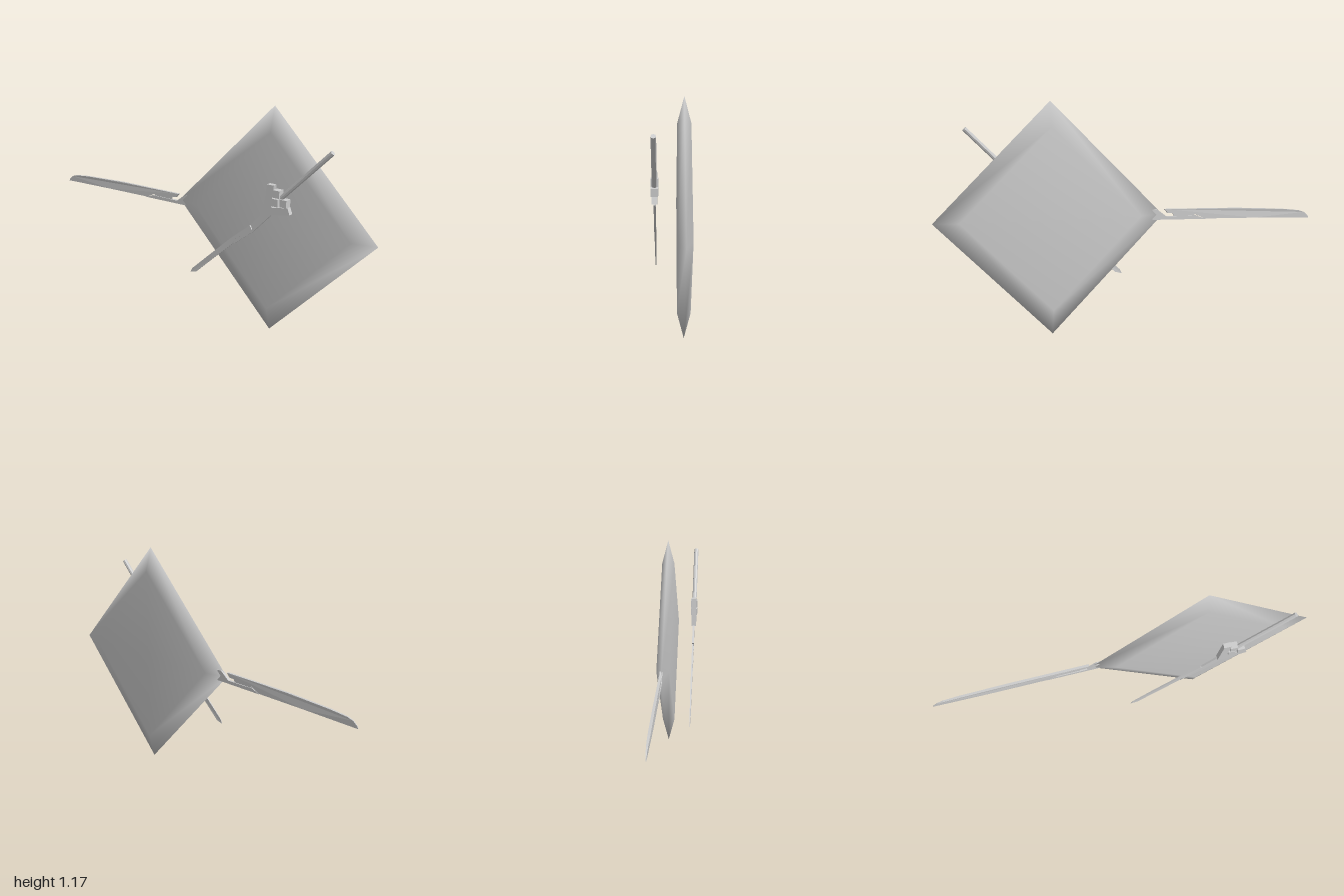
import * as THREE from 'three';
import { mergeVertices } from 'three/addons/utils/BufferGeometryUtils.js';

const grey = new THREE.MeshStandardMaterial({ color: 0xcccccc });
const faceted = new THREE.MeshStandardMaterial({ color: 0xcccccc, flatShading: true });

function addMesh(parent, name, geometry, material = faceted) {
  const mesh = new THREE.Mesh(geometry, material);
  mesh.name = name;
  parent.add(mesh);
  return mesh;
}

// Flat plate cut from an outline, centred on z = 0
function plate(points, depth) {
  const shape = new THREE.Shape(points.map(([x, y]) => new THREE.Vector2(x, y)));
  const geometry = new THREE.ExtrudeGeometry(shape, { depth, bevelEnabled: false });
  return geometry.translate(0, 0, -depth / 2);
}

// Thin the plate towards its point
function taperTip(geometry, tipX, length) {
  const p = geometry.attributes.position;
  for (let i = 0; i < p.count; i++) {
    const t = Math.min(1, 0.25 + (p.getX(i) - tipX) / length);
    p.setZ(i, p.getZ(i) * t);
  }
  geometry.computeVertexNormals();
  return geometry;
}

// Diamond slab: four-sided lathe with softly shaded bevels
function createSlab() {
  const profile = [[0, -0.033], [0.457, -0.033], [0.583, 0], [0.457, 0.033], [0, 0.033]];
  let geometry = new THREE.LatheGeometry(profile.map(([x, y]) => new THREE.Vector2(x, y)), 4);
  geometry.deleteAttribute('normal');
  geometry.deleteAttribute('uv');
  geometry = mergeVertices(geometry);
  geometry.computeVertexNormals();
  return geometry.rotateX(Math.PI / 2);
}

// Large blade with its slotted neck
function createLargeBlade() {
  const group = new THREE.Group();
  group.name = 'largeBlade';
  addMesh(group, 'largeBladeEdge', taperTip(plate([
    [-1, 0.533], [-0.684, 0.546], [-0.396, 0.554], [-0.348, 0.578], [-0.193, 0.591],
    [-0.176, 0.612], [-0.578, 0.602], [-0.845, 0.586], [-0.941, 0.575], [-0.973, 0.564], [-0.995, 0.545],
  ], 0.013), -1, 0.12));
  addMesh(group, 'largeBladeNeck', plate([
    [-0.401, 0.552], [-0.11, 0.559], [-0.11, 0.613], [-0.134, 0.613], [-0.187, 0.573], [-0.353, 0.571],
  ], 0.015));
  addMesh(group, 'largeBladeBridge', plate([
    [-0.37, 0.56], [-0.23, 0.567], [-0.22, 0.592], [-0.33, 0.583],
  ], 0.006));
  group.position.z = -0.062;
  return group;
}

// Small sword: slotted blade, forked guard, cubes and grip
function createSmallSword() {
  const group = new THREE.Group();
  group.name = 'smallSword';
  addMesh(group, 'smallBladeEdge', taperTip(plate([
    [0.011, 0.259], [0.048, 0.27], [0.16, 0.372], [0.273, 0.473], [0.294, 0.505],
    [0.39, 0.58], [0.38, 0.596], [0.267, 0.505], [0.144, 0.393], [0.021, 0.281],
  ], 0.008), 0.011, 0.08));
  addMesh(group, 'smallBladeNeck', plate([
    [0.278, 0.473], [0.4, 0.568], [0.5, 0.672], [0.46, 0.68], [0.385, 0.602], [0.398, 0.58], [0.289, 0.495],
  ], 0.01));
  addMesh(group, 'smallBladeBridge', plate([
    [0.28, 0.485], [0.395, 0.57], [0.385, 0.59], [0.28, 0.505],
  ], 0.005));
  addMesh(group, 'forkedGuard', plate([
    [0.46, 0.676], [0.497, 0.675], [0.61, 0.698], [0.598, 0.73], [0.505, 0.715],
    [0.519, 0.826], [0.481, 0.826],
  ], 0.025));

  // Three cubes held in the fork
  for (const [x, y] of [[0.535, 0.787], [0.527, 0.744], [0.575, 0.748]]) {
    addMesh(group, 'guardCube', new THREE.BoxGeometry(0.037, 0.037, 0.035)).position.set(x, y, 0);
  }

  // Grip rod running out along the diagonal
  const start = new THREE.Vector3(0.555, 0.77, 0);
  const end = new THREE.Vector3(0.818, 1.031, 0);
  const axis = end.clone().sub(start);
  const grip = addMesh(group, 'grip', new THREE.CylinderGeometry(0.012, 0.012, axis.length(), 8));
  grip.position.copy(start).lerp(end, 0.5);
  grip.quaternion.setFromUnitVectors(new THREE.Vector3(0, 1, 0), axis.normalize());

  group.position.z = 0.077;
  return group;
}

export function createModel() {
  const model = new THREE.Group();
  model.name = 'bladesAndSlab';
  addMesh(model, 'diamondSlab', createSlab(), grey).position.set(0.416, 0.585, -0.06);
  model.add(createLargeBlade(), createSmallSword());
  return model;
}
